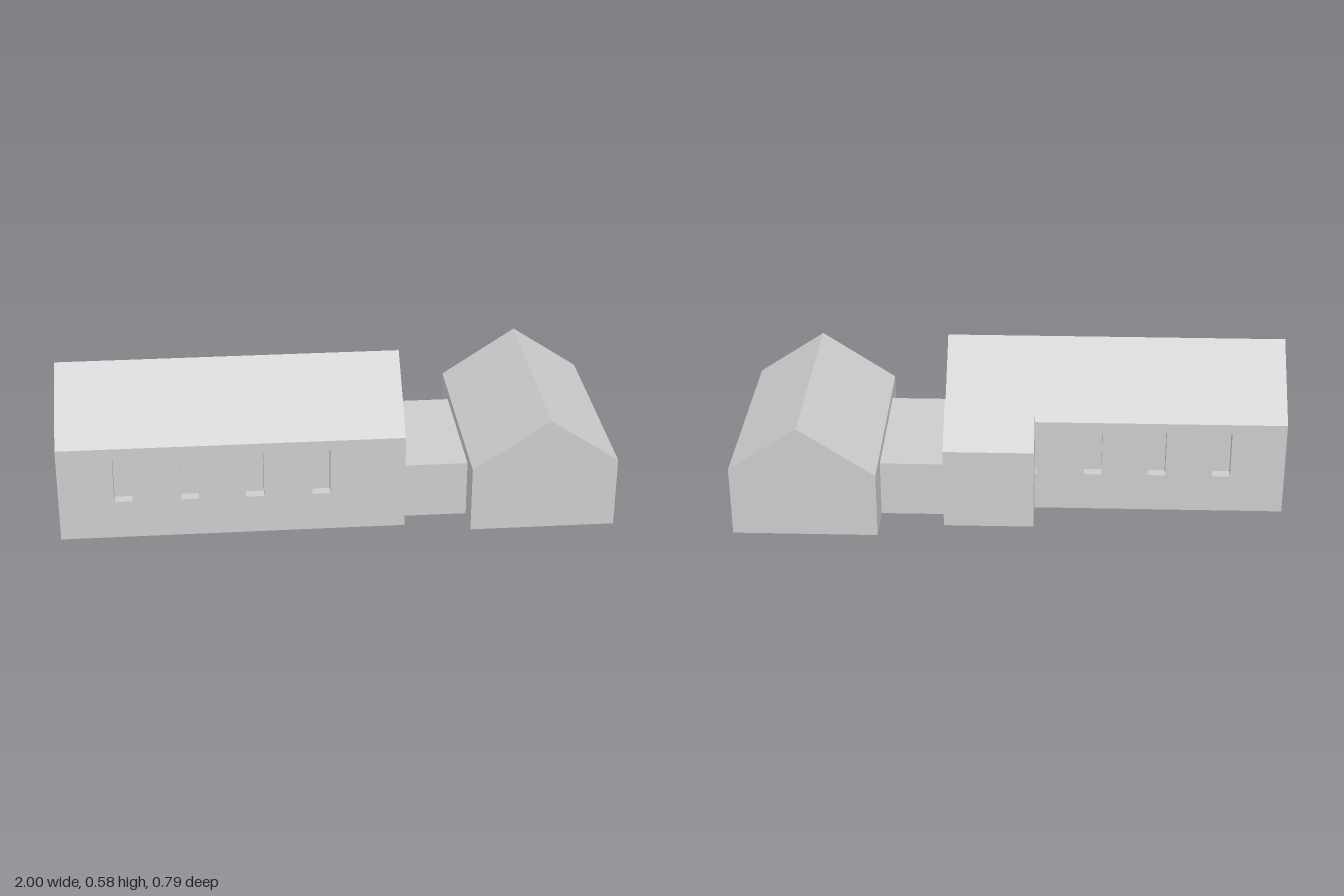
import * as THREE from 'three';

const stone = new THREE.MeshStandardMaterial({ color: 0xcccccc });
stone.name = 'pale grey stone';

const shapeOf = (pts) => new THREE.Shape(pts.map(([u, v]) => new THREE.Vector2(u, v)));

// Narrow opening with a pointed head
function lancet(centre, bottom, top, width = 0.065) {
  const h = width / 2;
  return new THREE.Path([
    [centre - h, bottom], [centre + h, bottom], [centre + h, top - 0.035],
    [centre, top], [centre - h, top - 0.035],
  ].map(([u, v]) => new THREE.Vector2(u, v)));
}

const extrude = (shape, depth) =>
  new THREE.ExtrudeGeometry(shape, { depth, bevelEnabled: false, curveSegments: 16 });

// Extrude an (x, y) profile from z0 to z1
const alongZ = (shape, z0, z1) => extrude(shape, z1 - z0).translate(0, 0, z0);

// Extrude a (z, y) profile from x0 to x1
const alongX = (shape, x0, x1) =>
  extrude(shape, x1 - x0).rotateY(-Math.PI / 2).translate(x1, 0, 0);

export function createModel() {
  const model = new THREE.Group();
  model.name = 'chapel';
  const add = (name, geometry) => {
    const mesh = new THREE.Mesh(geometry, stone);
    mesh.name = name;
    model.add(mesh);
  };

  // Main hall dimensions
  const x0 = -1, x1 = 0.24, back = -0.18, front = 0.343;
  const eave = 0.358, ridge = 0.58, mid = (back + front) / 2;
  const recess = 0.04, inner = x0 + recess;

  // Side walls with recessed windows
  const sideWall = shapeOf([[inner, 0], [x1, 0], [x1, eave], [inner, eave]]);
  for (const x of [-0.77, -0.533, -0.3, -0.062]) sideWall.holes.push(lancet(x, 0.145, 0.353));
  add('frontWall', alongZ(sideWall, front - recess, front));
  add('backWall', alongZ(sideWall, back, back + recess));

  // End gable with two windows, a low doorway and a round window
  const gable = shapeOf([[back, 0], [front, 0], [front, eave], [mid, ridge], [back, eave]]);
  gable.holes.push(
    lancet(mid - 0.147, 0.15, 0.31),
    lancet(mid + 0.147, 0.15, 0.31),
    lancet(mid, 0.02, 0.19),
    new THREE.Path().absarc(mid, 0.435, 0.034, 0, Math.PI * 2),
  );
  add('gableWall', alongX(gable, x0, inner));

  // Solid core behind the recesses, and the roof
  const core = shapeOf([[back + recess, 0], [front - recess, 0],
    [front - recess, eave], [back + recess, eave]]);
  add('hallCore', alongX(core, inner, x1));
  add('hallRoof', alongX(shapeOf([[back, eave], [front, eave], [mid, ridge]]), inner, x1));

  // Lean-to at the back, rising just above the hall roof
  const leanTo = shapeOf([[-0.318, 0], [-0.168, 0], [-0.168, 0.434], [-0.318, 0.305]]);
  add('leanTo', alongX(leanTo, -0.087, x1));

  // Flat-roofed link between the buildings
  const link = shapeOf([[-0.24, 0], [0.278, 0], [0.278, 0.21], [-0.24, 0.21]]);
  add('link', alongX(link, x1, 0.475));

  // Cross wing with its ridge running front to back
  const wing = shapeOf([[0.475, 0], [1, 0], [1, 0.263], [0.75, 0.43], [0.475, 0.246]]);
  add('crossWing', alongZ(wing, -0.395, 0.395));

  return model;
}
